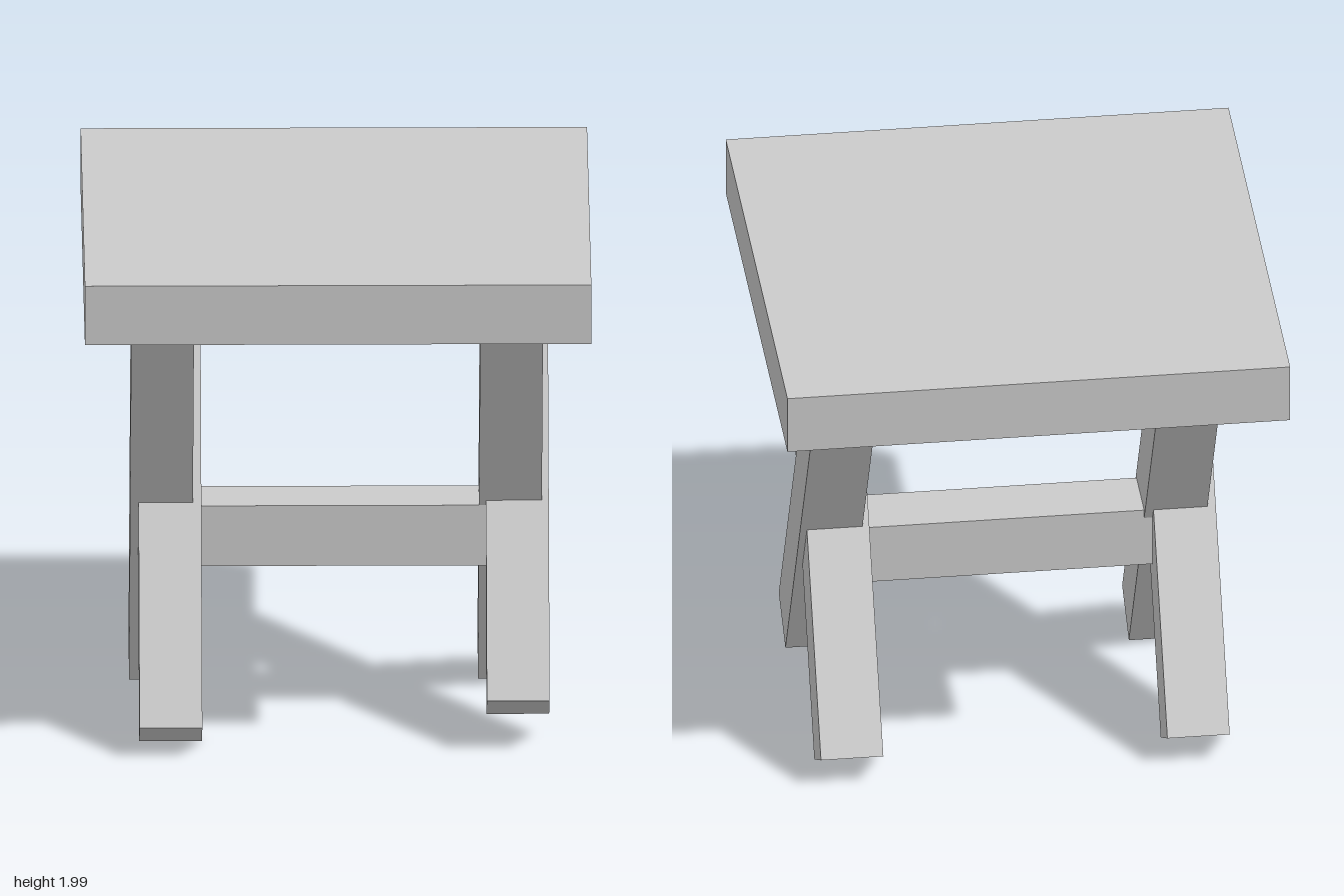
import * as THREE from 'three';

const material = new THREE.MeshStandardMaterial({ color: 0xcccccc, flatShading: true });
const TILT = Math.PI / 6; // legs lean 30 degrees from vertical

function box(name, w, h, d, x, y, z) {
  const mesh = new THREE.Mesh(new THREE.BoxGeometry(w, h, d), material);
  mesh.name = name;
  mesh.position.set(x, y, z);
  return mesh;
}

// A square leg from the centre of its foot up into the tabletop; dir is the way it leans along z
function leg(name, x, footY, footZ, dir) {
  const topY = 1.9;
  const rise = topY - footY;
  const length = rise / Math.cos(TILT);
  const run = dir * rise * Math.tan(TILT);
  const mesh = box(name, 0.238, length, 0.239, x, footY + rise / 2, footZ + run / 2);
  mesh.rotation.x = dir * TILT;
  return mesh;
}

export function createModel() {
  const stool = new THREE.Group();
  stool.name = 'stool';

  // Thick square seat
  stool.add(box('tabletop', 1.92, 0.235, 1.92, 0, 1.8825, 0));

  // Crossed legs, the left front one cut slightly shorter
  stool.add(leg('frontLegRight', -0.631, 0.065, 0.515, -1));
  stool.add(leg('frontLegLeft', 0.686, 0.155, 0.47, -1));
  stool.add(leg('backLegRight', -0.663, 0.07, -0.425, 1));
  stool.add(leg('backLegLeft', 0.66, 0.07, -0.425, 1));

  // Stretcher joining the two crossings
  stool.add(box('stretcher', 1.32, 0.24, 0.24, 0.015, 0.745, 0.055));

  return stool;
}
